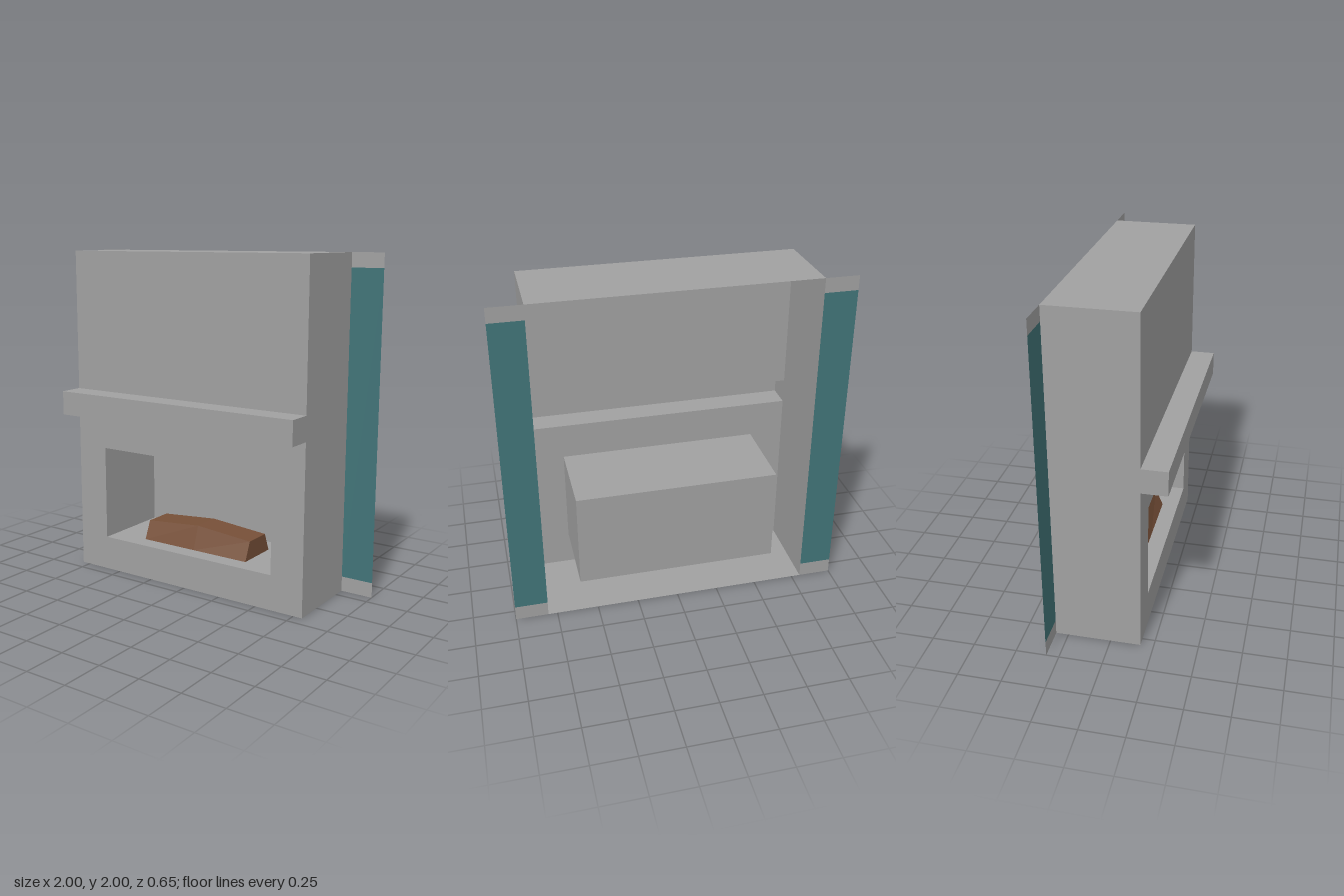
import * as THREE from 'three';

const BACK = -0.323, FRONT = 0.175, LEDGE = 0.323; // depth planes
const HALF = 0.805;                                // half width of the chimney body
const FIRE = { x: 0.6, y0: 0.21, y1: 0.79 };       // fire opening
const MANTEL = { y0: 1.005, y1: 1.15 };

export function createModel() {
  const root = new THREE.Group();
  root.name = 'fireplace';

  const paint = (name, color) => {
    const m = new THREE.MeshStandardMaterial({ color, side: THREE.DoubleSide });
    m.name = name;
    return m;
  };
  const stone = paint('grey stone', 0xa1a1a1);
  const teal = paint('teal', 0x417478);
  const wood = paint('brown wood', 0x775038);

  const add = (name, geometry, material, x = 0, y = 0, z = 0) => {
    const mesh = new THREE.Mesh(geometry, material);
    mesh.name = name;
    mesh.position.set(x, y, z);
    root.add(mesh);
    return mesh;
  };

  // Thin-walled box keeping only the listed sides (0 +x, 1 -x, 2 +y, 3 -y, 4 +z, 5 -z)
  const shell = (name, halfW, y0, y1, z0, z1, sides) => {
    const g = new THREE.BoxGeometry(halfW * 2, y1 - y0, z1 - z0);
    const all = Array.from(g.index.array);
    g.setIndex(sides.flatMap((s) => all.slice(s * 6, s * 6 + 6)));
    g.clearGroups();
    return add(name, g, stone, 0, (y0 + y1) / 2, (z0 + z1) / 2);
  };

  const rect = (Type, x0, y0, x1, y1) => new Type([
    new THREE.Vector2(x0, y0), new THREE.Vector2(x1, y0),
    new THREE.Vector2(x1, y1), new THREE.Vector2(x0, y1),
  ]);

  // Hollow body, open at the back
  shell('body', HALF, 0, 2, BACK, FRONT, [0, 1, 2, 3]);

  // Front wall, split by the hollow mantel
  const lower = rect(THREE.Shape, -HALF, 0, HALF, MANTEL.y0);
  lower.holes.push(rect(THREE.Path, -FIRE.x, FIRE.y0, FIRE.x, FIRE.y1));
  add('lowerFrontWall', new THREE.ShapeGeometry(lower), stone, 0, 0, FRONT);
  const upper = rect(THREE.Shape, -HALF, MANTEL.y1, HALF, 2);
  add('upperFrontWall', new THREE.ShapeGeometry(upper), stone, 0, 0, FRONT);
  shell('mantel', HALF, MANTEL.y0, MANTEL.y1, FRONT, LEDGE, [0, 1, 2, 3, 4]);

  // Firebox recess, its floor cut out beneath the log
  shell('firebox', FIRE.x, FIRE.y0, FIRE.y1, BACK, FRONT, [0, 1, 2, 5]);
  const logX = 0.37, logFront = 0.073, logBack = -0.195;
  const floor = rect(THREE.Shape, -FIRE.x, -FRONT, FIRE.x, -BACK);
  floor.holes.push(rect(THREE.Path, -logX, -logFront, logX, -logBack));
  add('fireboxFloor', new THREE.ShapeGeometry(floor).rotateX(-Math.PI / 2), stone, 0, FIRE.y0, 0);

  // Log: three tapered cross-sections, peaked in the middle and open below
  const section = (x, top) => [
    [x, FIRE.y0, logFront], [x, top, 0.025], [x, top, -0.15], [x, FIRE.y0, logBack],
  ];
  const rings = [section(-logX, 0.322), section(0, 0.353), section(logX, 0.322)];
  const points = [];
  const quad = (a, b, c, d) => points.push(...a, ...b, ...c, ...a, ...c, ...d);
  for (let i = 0; i < 2; i++) {
    for (let j = 0; j < 3; j++) {
      quad(rings[i][j], rings[i + 1][j], rings[i + 1][j + 1], rings[i][j + 1]);
    }
  }
  quad(...rings[2].slice().reverse().map((p) => p).reverse());
  quad(...rings[0].slice().reverse());
  // End caps face outwards along x
  const logGeometry = new THREE.BufferGeometry();
  logGeometry.setAttribute('position', new THREE.Float32BufferAttribute(points, 3));
  logGeometry.computeVertexNormals();
  add('log', logGeometry, wood);

  // Flat side wings: teal panel between grey end strips
  const bands = [['Foot', 0, 0.09, stone], ['Panel', 0.09, 1.915, teal], ['Head', 1.915, 2, stone]];
  for (const [side, s] of [['left', 1], ['right', -1]]) {
    for (const [part, y0, y1, material] of bands) {
      add(`${side}Wing${part}`, new THREE.PlaneGeometry(1 - HALF, y1 - y0), material,
        s * (1 + HALF) / 2, (y0 + y1) / 2, BACK);
    }
  }
  return root;
}
